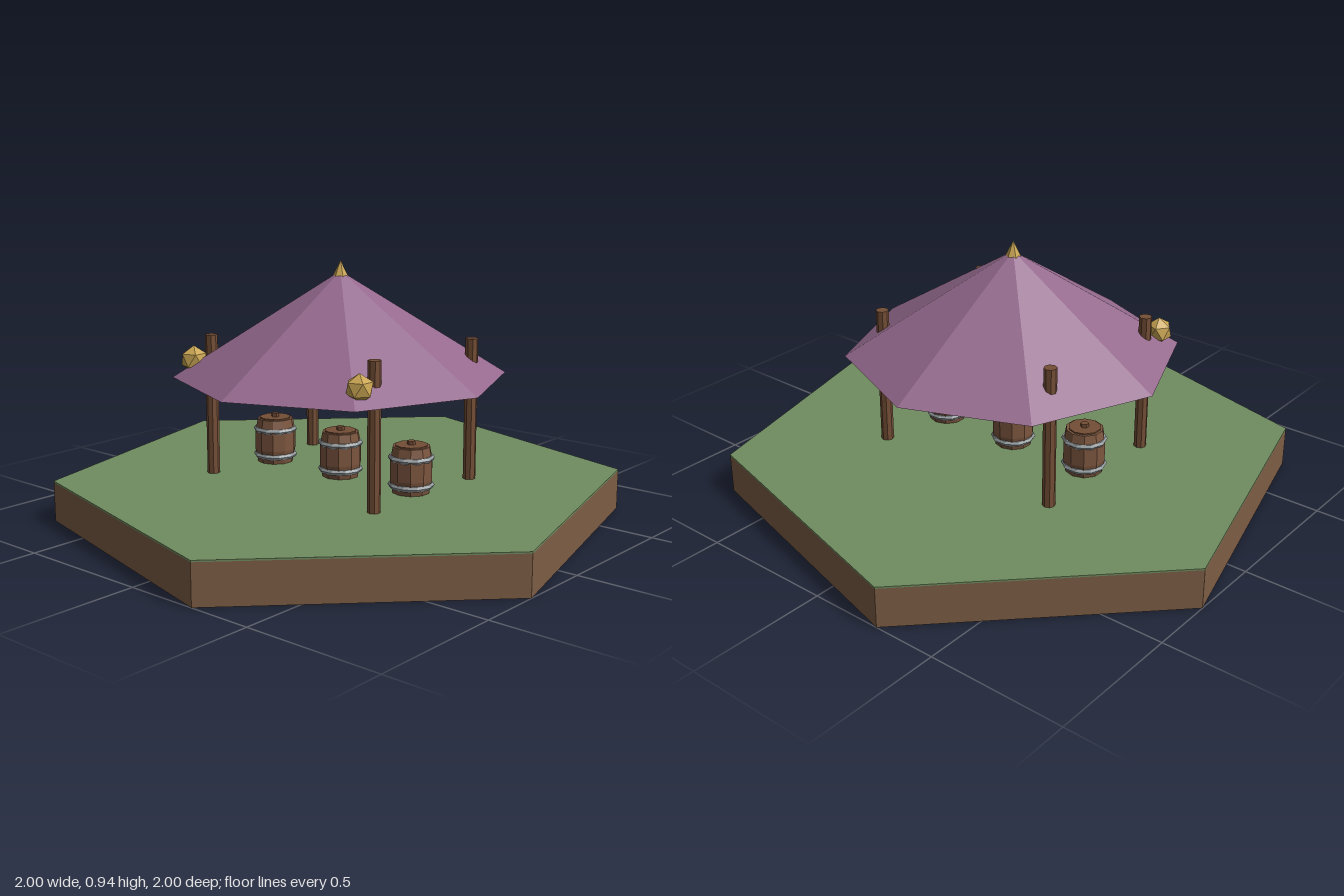
import * as THREE from 'three';

const mat = (name, color) => {
  const m = new THREE.MeshStandardMaterial({ color, flatShading: true });
  m.name = name;
  return m;
};

export function createModel() {
  const root = new THREE.Group();
  root.name = 'pavilion';
  const earth = mat('earth brown', 0x7d5d45);
  const grass = mat('grass green', 0x708c5f);
  const cloth = mat('canopy purple', 0x956a8e);
  const wood = mat('post brown', 0x744e36);
  const stave = mat('barrel brown', 0x7c563f);
  const metal = mat('hoop grey', 0x959c9f);
  const gold = mat('gold', 0xc9a552);

  const add = (parent, name, geo, material, x = 0, y = 0, z = 0) => {
    const m = new THREE.Mesh(geo, material);
    m.name = name;
    m.position.set(x, y, z);
    parent.add(m);
    return m;
  };

  // Hexagonal ground slab with a thin layer of grass
  const turn = Math.PI / 12;
  add(root, 'groundSlab', new THREE.CylinderGeometry(1.035, 1.035, 0.144, 6), earth, 0, 0.072).rotation.y = turn;
  add(root, 'grassTop', new THREE.CylinderGeometry(1.035, 1.035, 0.006, 6), grass, 0, 0.147).rotation.y = turn;

  // Canopy and finial
  add(root, 'canopy', new THREE.ConeGeometry(0.6, 0.375, 8), cloth, 0, 0.7125);
  add(root, 'finial', new THREE.ConeGeometry(0.038, 0.075, 6), gold, 0, 0.9);

  // Four posts that pierce the canopy
  const postGeo = new THREE.CylinderGeometry(0.023, 0.023, 0.52, 8);
  for (const x of [-0.38, 0.38])
    for (const z of [-0.273, 0.273]) add(root, 'post', postGeo, wood, x, 0.405, z);

  // Lanterns along the front, the middle one hanging lower
  const lanternGeo = new THREE.IcosahedronGeometry(0.05, 0).rotateZ(Math.atan(2 / (1 + Math.sqrt(5))));
  for (const [x, y] of [[-0.385, 0.585], [0, 0.55], [0.385, 0.585]])
    add(root, 'lantern', lanternGeo, gold, x, y, 0.355);

  // Row of barrels under the canopy
  const bodyGeo = new THREE.LatheGeometry(
    [[0, 0], [0.067, 0], [0.077, 0.05], [0.077, 0.115], [0.067, 0.166], [0, 0.166]]
      .map(([r, y]) => new THREE.Vector2(r, y)), 10);
  const hoopGeo = new THREE.TorusGeometry(0.071, 0.011, 6, 10).rotateX(Math.PI / 2);
  for (const x of [-0.325, 0, 0.325]) {
    const barrel = new THREE.Group();
    barrel.name = 'barrel';
    barrel.position.set(x, 0.15, 0);
    add(barrel, 'barrelBody', bodyGeo, stave);
    for (const y of [0.027, 0.125]) add(barrel, 'hoop', hoopGeo, metal, 0, y);
    add(barrel, 'lid', new THREE.CylinderGeometry(0.058, 0.058, 0.006, 10), wood, 0, 0.168);
    add(barrel, 'lidKnob', new THREE.CylinderGeometry(0.015, 0.015, 0.016, 6), wood, 0, 0.176);
    root.add(barrel);
  }
  return root;
}
